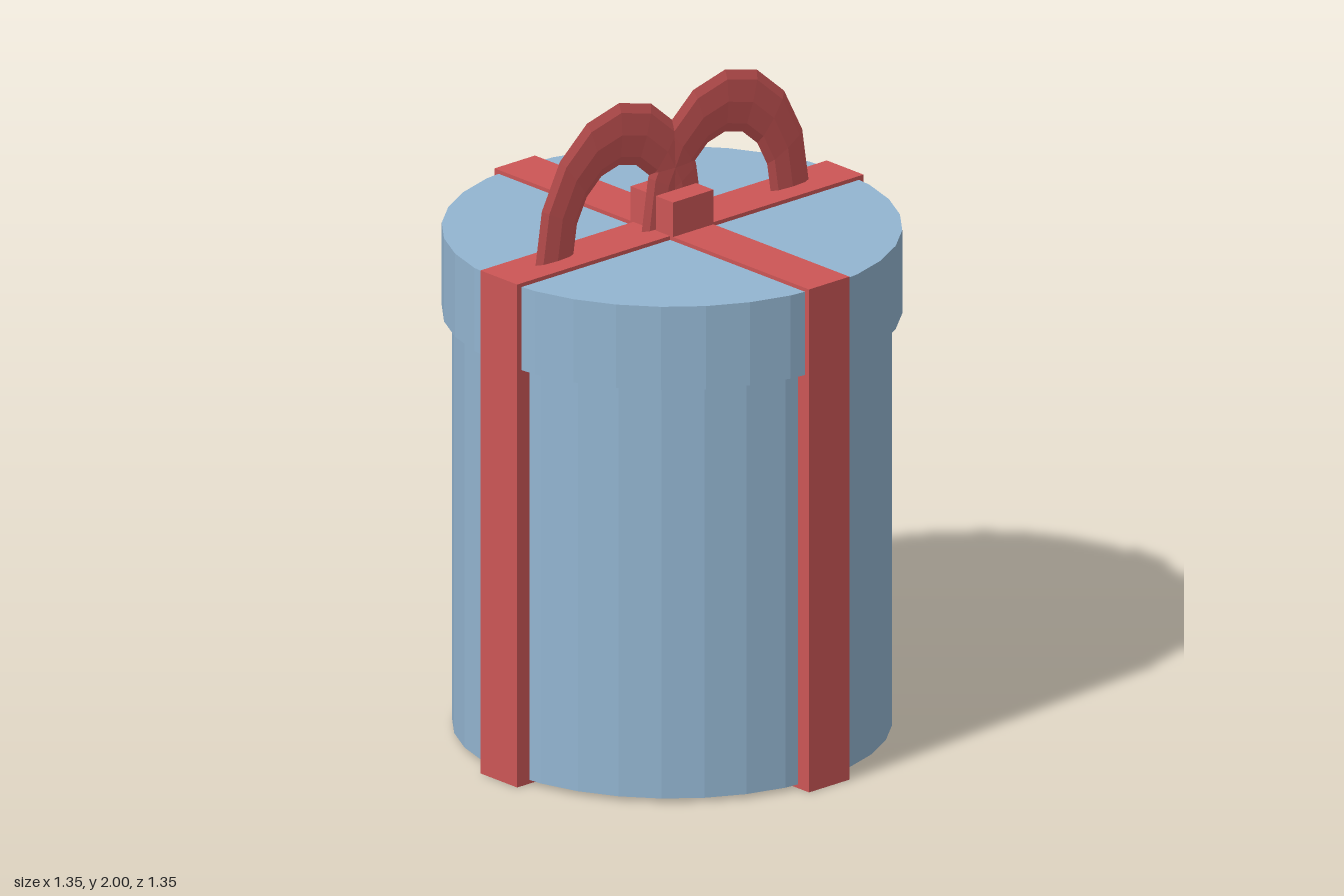
import * as THREE from 'three';

export function createModel() {
  const blue = new THREE.MeshStandardMaterial({ color: 0x93b5d1, flatShading: true });
  blue.name = 'boxBlue';
  const red = new THREE.MeshStandardMaterial({ color: 0xcc5656, flatShading: true });
  red.name = 'ribbonRed';

  const model = new THREE.Group();
  model.name = 'roundGiftBox';

  // Everything is built square to the ribbons, then turned as a whole
  const gift = new THREE.Group();
  gift.name = 'gift';
  gift.rotation.y = THREE.MathUtils.degToRad(52.4);
  model.add(gift);

  const add = (name, geometry, material, x, y, z) => {
    const mesh = new THREE.Mesh(geometry, material);
    mesh.name = name;
    mesh.position.set(x, y, z);
    gift.add(mesh);
    return mesh;
  };
  const drum = (name, radius, y0, y1) =>
    add(name, new THREE.CylinderGeometry(radius, radius, y1 - y0, 32), blue, 0, (y0 + y1) / 2, 0);

  // Round box and its wider lid
  drum('body', 0.645, 0.012, 1.3);
  drum('lid', 0.675, 1.3, 1.56);

  // Two crossed ribbons wrapped around top, sides and bottom
  const top = 1.572;
  add('ribbonAlong', new THREE.BoxGeometry(1.37, top, 0.16), red, 0, top / 2, 0);
  add('ribbonAcross', new THREE.BoxGeometry(0.16, top, 1.37), red, 0, top / 2, 0);

  // Bow: two thin flattened arches that cross at the middle, held by a knot block on each side
  const arch = new THREE.TorusGeometry(0.255, 0.075, 8, 8, Math.PI);
  arch.scale(1, 1.29, 0.2);
  for (const side of [-1, 1]) {
    const label = side > 0 ? 'Left' : 'Right';
    add('bowLoop' + label, arch, red, side * 0.21, top, 0);
    add('knot' + label, new THREE.BoxGeometry(0.16, 0.11, 0.075), red, 0, top + 0.053, side * 0.055);
  }

  return model;
}
